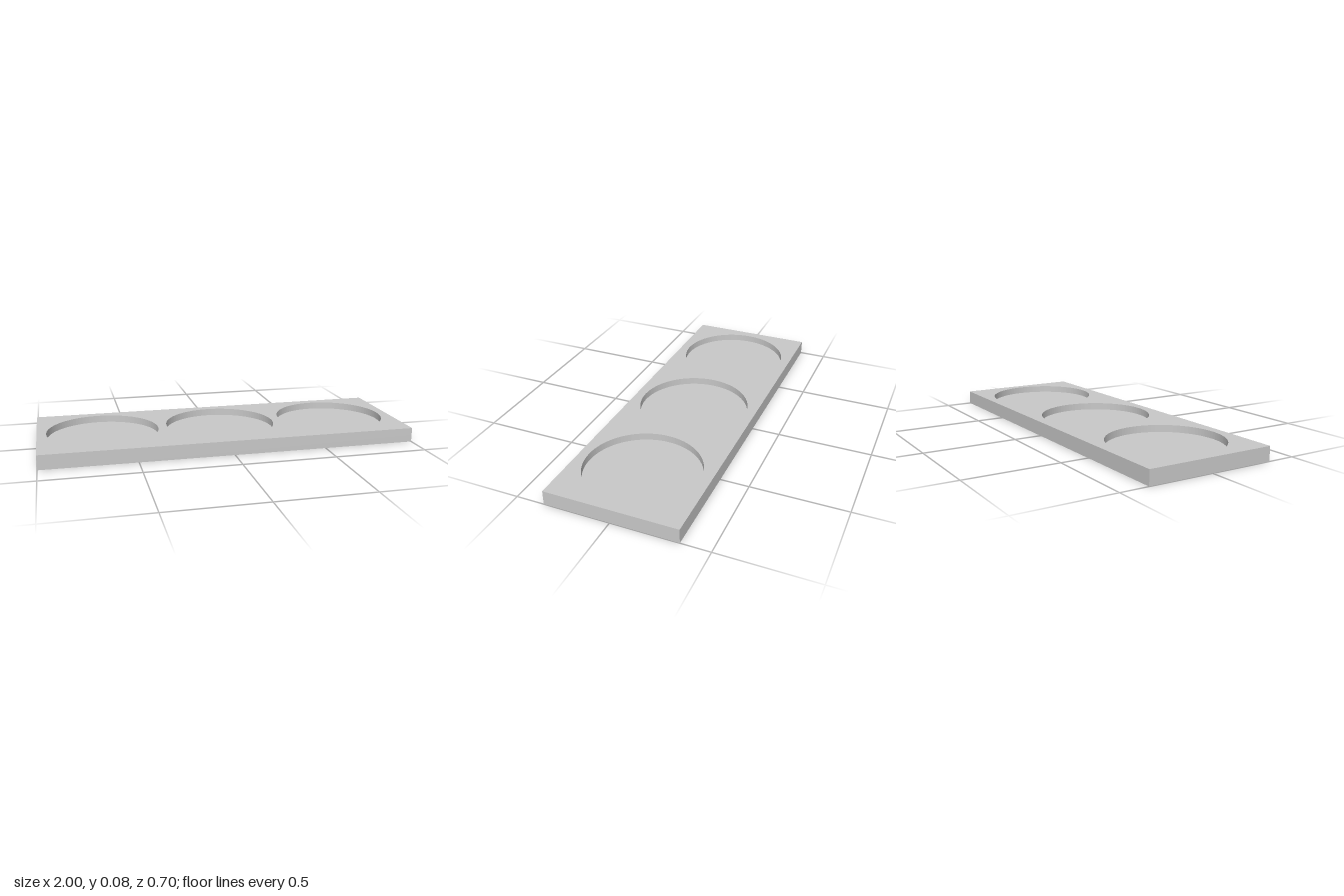
import * as THREE from 'three';

const LENGTH = 2, WIDTH = 0.7, HEIGHT = 0.077;
const FLOOR = 0.039;            // height of the recess floors
const RADIUS = 0.3, SPACING = 0.65;

export function createModel() {
  const group = new THREE.Group();
  group.name = 'tray';
  const grey = new THREE.MeshStandardMaterial({ name: 'lightGrey', color: 0xc8c8c8 });

  // Solid lower slab, whose top forms the recess floors
  const base = new THREE.Mesh(new THREE.BoxGeometry(LENGTH, FLOOR, WIDTH), grey);
  base.name = 'base';
  base.position.y = FLOOR / 2;
  group.add(base);

  // Upper slab with three round openings
  const outline = new THREE.Shape([
    new THREE.Vector2(-LENGTH / 2, -WIDTH / 2),
    new THREE.Vector2(LENGTH / 2, -WIDTH / 2),
    new THREE.Vector2(LENGTH / 2, WIDTH / 2),
    new THREE.Vector2(-LENGTH / 2, WIDTH / 2),
  ]);
  for (const x of [-SPACING, 0, SPACING]) {
    outline.holes.push(new THREE.Path().absarc(x, 0, RADIUS, 0, Math.PI * 2, true));
  }
  const geometry = new THREE.ExtrudeGeometry(outline, {
    depth: HEIGHT - FLOOR, bevelEnabled: false, curveSegments: 48,
  });
  geometry.rotateX(-Math.PI / 2);
  const rim = new THREE.Mesh(geometry, grey);
  rim.name = 'recessedTop';
  rim.position.y = FLOOR;
  group.add(rim);

  return group;
}
